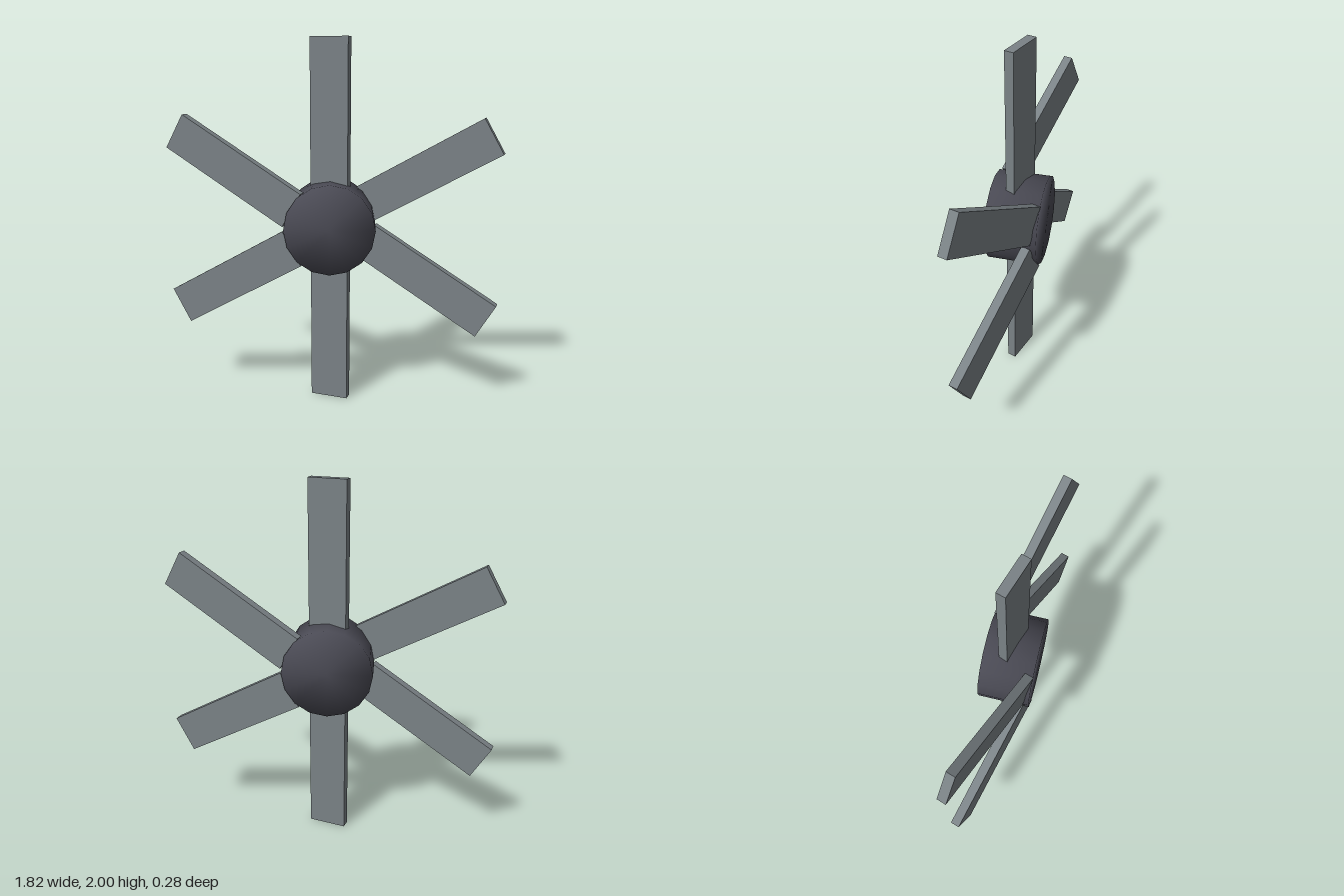
import * as THREE from 'three';
import { mergeVertices } from 'three/addons/utils/BufferGeometryUtils.js';

export function createModel() {
  const model = new THREE.Group();
  model.name = 'fan';
  const bladeMetal = new THREE.MeshStandardMaterial({ color: 0x7a8286 });
  bladeMetal.name = 'grey blade metal';
  const hubMetal = new THREE.MeshStandardMaterial({ color: 0x4a4a54 });
  hubMetal.name = 'dark hub metal';

  // Hub: short 16-sided drum along z, with normals shared over rim and caps
  const drum = new THREE.CylinderGeometry(0.245, 0.245, 0.28, 16);
  drum.deleteAttribute('normal');
  drum.deleteAttribute('uv');
  const hubGeometry = mergeVertices(drum);
  hubGeometry.rotateX(Math.PI / 2);
  hubGeometry.computeVertexNormals();
  const hub = new THREE.Mesh(hubGeometry, hubMetal);
  hub.name = 'hub';
  hub.position.y = 1;
  model.add(hub);

  // Six flat blades, each turned about the vertical through its own centre
  const bladeGeometry = new THREE.BoxGeometry(0.792, 0.211, 0.05);
  const radius = 0.604;
  for (let i = 0; i < 6; i++) {
    const angle = Math.PI / 6 + (i * Math.PI) / 3;
    const blade = new THREE.Mesh(bladeGeometry, bladeMetal);
    blade.name = `blade${i + 1}`;
    blade.position.set(radius * Math.cos(angle), 1 + radius * Math.sin(angle), 0);
    blade.rotation.set(0, -0.304, angle);
    model.add(blade);
  }
  return model;
}
